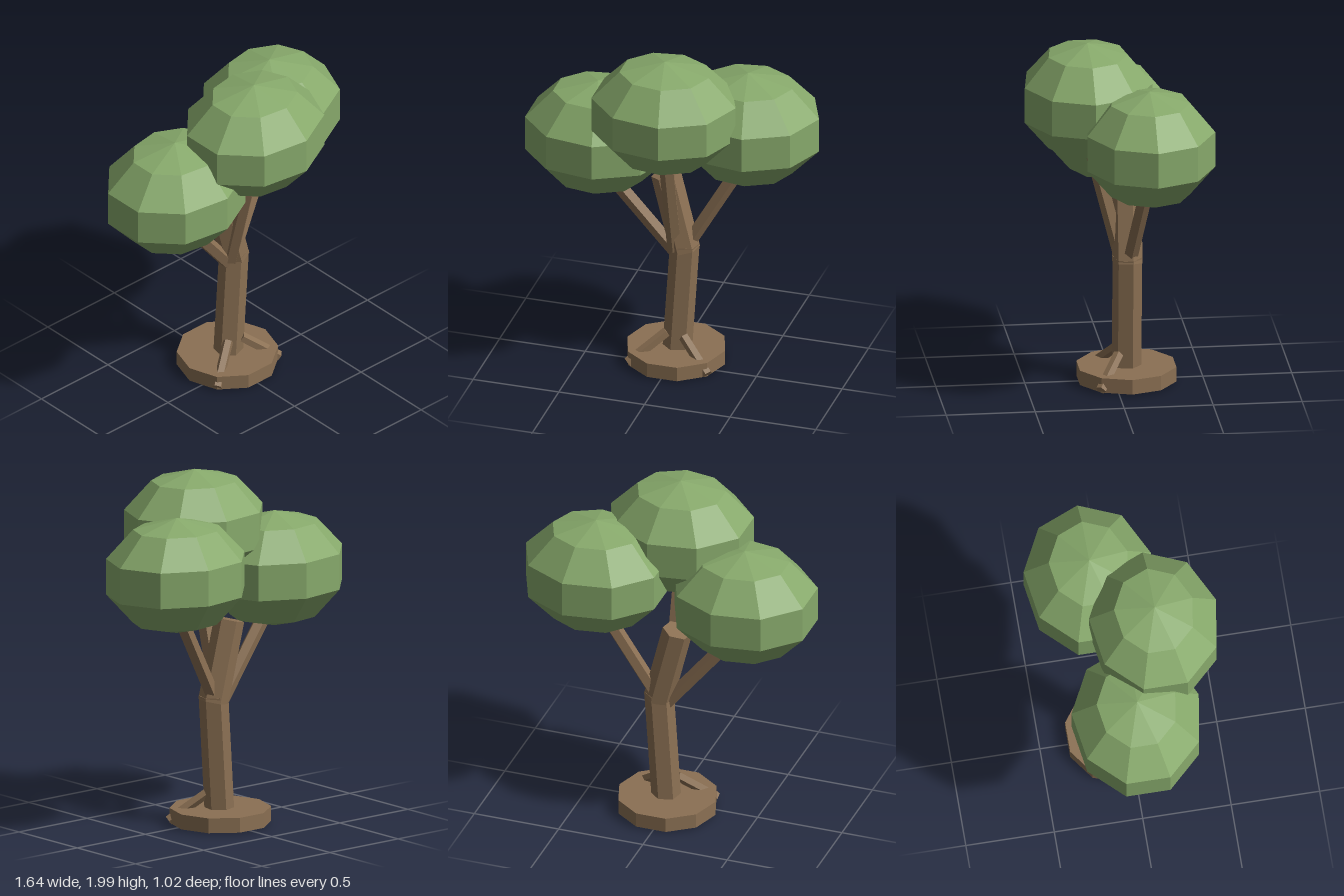
import * as THREE from 'three';

export function createModel() {
  const bark = new THREE.MeshStandardMaterial({ color: 0x8b7053, flatShading: true });
  bark.name = 'bark brown';
  const leaf = new THREE.MeshStandardMaterial({ color: 0x87a96b, flatShading: true });
  leaf.name = 'leaf green';

  const tree = new THREE.Group();
  tree.name = 'tree';

  const add = (name, geometry, material, position) => {
    const mesh = new THREE.Mesh(geometry, material);
    mesh.name = name;
    mesh.position.set(...position);
    tree.add(mesh);
    return mesh;
  };

  // Straight prism running from one point to another
  const limb = (name, from, to, radius, sides, turn = 0) => {
    const a = new THREE.Vector3(...from);
    const b = new THREE.Vector3(...to);
    const axis = b.clone().sub(a);
    const geometry = new THREE.CylinderGeometry(
      radius, radius, axis.length(), sides, 1, false, THREE.MathUtils.degToRad(turn));
    const middle = a.clone().add(b).multiplyScalar(0.5);
    const mesh = add(name, geometry, bark, middle.toArray());
    mesh.quaternion.setFromUnitVectors(new THREE.Vector3(0, 1, 0), axis.normalize());
  };

  // Ten-sided base disc with corners on the x axis
  const disc = new THREE.CylinderGeometry(0.285, 0.285, 0.085, 10).rotateY(Math.PI / 2);
  add('base', disc, bark, [0.01, 0.0575, -0.07]);

  // Trunk in two leaning sections
  limb('lowerTrunk', [0.012, 0.013, -0.07], [0.06, 0.75, -0.07], 0.083, 6, 48);
  limb('upperTrunk', [0.062, 0.71, -0.07], [-0.052, 1.168, -0.075], 0.085, 6, 48);

  // Branches up to each crown
  limb('rightBranch', [0.01, 0.69, -0.065], [-0.345, 1.125, -0.02], 0.042, 5, 20);
  limb('leftBranch', [0.09, 0.77, -0.085], [0.36, 1.24, -0.14], 0.042, 5, 20);
  limb('frontBranch', [0.01, 0.72, -0.045], [0.01, 1.4, 0.13], 0.043, 5);

  // Roots poking out through the edge of the base
  limb('rightRoot', [-0.03, 0.195, -0.02], [-0.22, 0.032, 0.1], 0.03, 5);
  limb('leftRoot', [0.07, 0.18, -0.02], [0.245, 0.03, 0.1], 0.03, 5);

  // Squashed faceted crowns
  const crown = new THREE.SphereGeometry(1, 9, 5).rotateY(Math.PI).scale(0.436, 0.33, 0.384);
  add('frontCrown', crown, leaf, [0.01, 1.67, 0.15]);
  add('leftCrown', crown, leaf, [0.403, 1.505, -0.155]);
  add('rightCrown', crown, leaf, [-0.43, 1.395, -0.02]);

  return tree;
}
